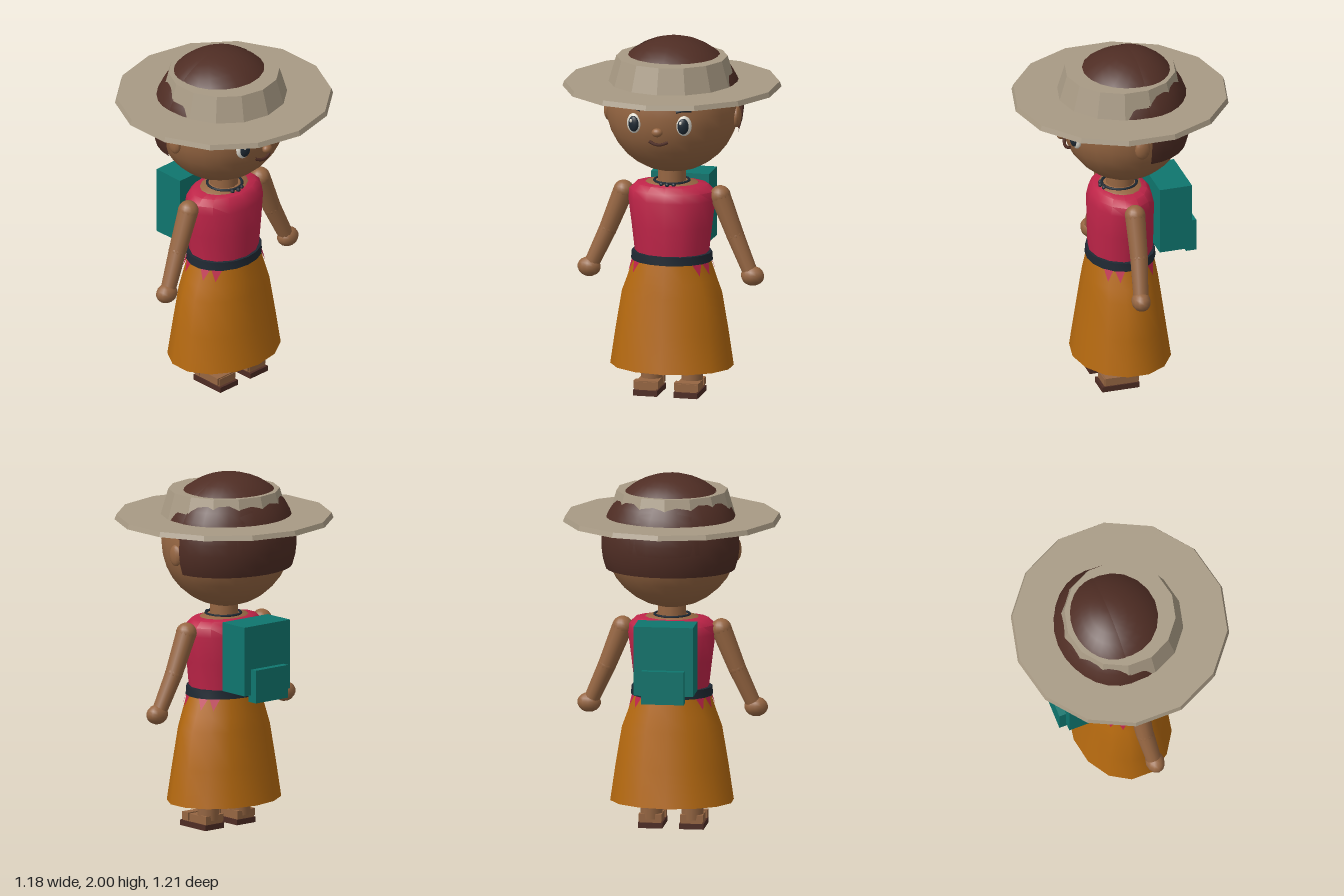
import * as THREE from 'three';
import { mergeVertices, toCreasedNormals } from 'three/addons/utils/BufferGeometryUtils.js';

const mat = (name, color, side = THREE.FrontSide) => {
  const m = new THREE.MeshStandardMaterial({ color, side });
  m.name = name;
  return m;
};

export function createModel() {
  const skin = mat('skin', 0x966642);
  const hair = mat('dark brown', 0x4f2d24, THREE.DoubleSide);
  const straw = mat('straw', 0xa89a84);
  const pink = mat('crimson', 0xbe2448, THREE.DoubleSide);
  const orange = mat('orange', 0xb5690f, THREE.DoubleSide);
  const teal = mat('teal', 0x0f766e);
  const dark = mat('charcoal', 0x1f2933);
  const white = mat('eye white', 0xddd8cc);
  const model = new THREE.Group();
  model.name = 'girlWithHat';

  const add = (name, geo, material, x = 0, y = 0, z = 0) => {
    const m = new THREE.Mesh(geo, material);
    m.name = name;
    m.position.set(x, y, z);
    model.add(m);
    return m;
  };
  const ball = (name, material, [x, y, z], [rx, ry, rz], w = 16, h = 12) => {
    const m = add(name, new THREE.SphereGeometry(1, w, h), material, x, y, z);
    m.scale.set(rx, ry, rz);
    return m;
  };
  const box = (name, material, x0, x1, y0, y1, z0, z1) =>
    add(name, new THREE.BoxGeometry(x1 - x0, y1 - y0, z1 - z0), material,
      (x0 + x1) / 2, (y0 + y1) / 2, (z0 + z1) / 2);
  // Elliptical loft through rings of [y, rx, rz], listed bottom to top
  const loft = (name, material, rings, sides = 14) => {
    const g = new THREE.LatheGeometry(rings.map(([y, rx]) => new THREE.Vector2(rx, y)), sides);
    const p = g.attributes.position;
    for (let i = 0; i < p.count; i++) {
      const [, rx, rz] = rings[i % rings.length];
      p.setZ(i, p.getZ(i) * rz / rx);
    }
    g.deleteAttribute('uv');
    g.deleteAttribute('normal');
    return add(name, toCreasedNormals(mergeVertices(g), 0.7), material);
  };
  // Tapered limb between two points
  const limb = (name, material, a, b, ra, rb) => {
    const A = new THREE.Vector3(...a), B = new THREE.Vector3(...b);
    const m = add(name, new THREE.CylinderGeometry(rb, ra, A.distanceTo(B), 12), material);
    m.position.copy(A).lerp(B, 0.5);
    m.quaternion.setFromUnitVectors(new THREE.Vector3(0, 1, 0), B.sub(A).normalize());
    return m;
  };
  const tube = (name, material, pts, r) => add(name, new THREE.TubeGeometry(
    new THREE.CatmullRomCurve3(pts.map(p => new THREE.Vector3(...p))), 10, r, 6), material);

  // Head and neck
  ball('head', skin, [0, 1.62, -0.02], [0.37, 0.37, 0.35], 24, 16);
  add('neck', new THREE.CylinderGeometry(0.078, 0.08, 0.13, 12), skin, 0, 1.235, 0);

  // Hair: tilted cap plus a half shell over the back of the head
  const cap = add('hairCap', new THREE.SphereGeometry(0.385, 24, 10, 0, Math.PI * 2, 0, 1.4), hair, 0, 1.615, -0.025);
  cap.rotation.x = -0.24;
  cap.scale.z = 0.95;
  const back = add('hairBack', new THREE.SphereGeometry(0.385, 14, 12, Math.PI, Math.PI, 0, 1.943), hair, 0, 1.615, -0.065);
  back.scale.z = 0.835;

  // Hat: wide brim and a tapered crown that the hair dome pokes through
  const flat = g => toCreasedNormals(g, 0.2);
  add('hatBrim', flat(new THREE.CylinderGeometry(0.595, 0.605, 0.028, 14)), straw, 0, 1.747, 0);
  add('hatCrown', flat(new THREE.CylinderGeometry(0.308, 0.352, 0.15, 14)), straw, 0, 1.83, 0);

  // Face
  ball('nose', skin, [0, 1.547, 0.343], [0.031, 0.025, 0.024]);
  tube('mouth', hair, [[-0.052, 1.486, 0.306], [-0.025, 1.475, 0.314], [0, 1.472, 0.317],
    [0.025, 1.475, 0.314], [0.052, 1.486, 0.306]], 0.009);
  for (const s of [-1, 1]) {
    ball('eyeWhite', white, [s * 0.143, 1.583, 0.3], [0.043, 0.057, 0.02]).rotation.y = s * 0.3;
    ball('iris', dark, [s * 0.141, 1.583, 0.311], [0.032, 0.045, 0.019]).rotation.y = s * 0.3;
    ball('eyeGlint', white, [s * 0.141 - 0.012, 1.602, 0.326], [0.009, 0.011, 0.006], 8, 6);
    tube('eyebrow', dark, [[s * 0.1, 1.663, 0.315], [s * 0.14, 1.671, 0.304], [s * 0.182, 1.668, 0.286]], 0.009);
    ball('ear', skin, [s * 0.365, 1.577, -0.015], [0.024, 0.06, 0.044], 12, 10);
  }

  // Torso, neckline and necklace
  loft('shirt', pink, [[0.76, 0.205, 0.175], [0.8, 0.207, 0.178], [0.95, 0.225, 0.182],
    [1.1, 0.245, 0.18], [1.15, 0.24, 0.168], [1.183, 0.205, 0.143], [1.19, 0.15, 0.115]]);
  loft('neckline', skin, [[1.18, 0.16, 0.125], [1.194, 0.145, 0.11], [1.203, 0.07, 0.07]]);
  add('necklace', new THREE.TorusGeometry(0.097, 0.008, 6, 20), dark, 0, 1.2, 0.005).rotation.x = Math.PI / 2;
  for (const x of [-0.035, 0, 0.035])
    ball('necklaceBead', dark, [x, 1.195, 0.113 - Math.abs(x) * 0.3], [0.013, 0.013, 0.013], 8, 6);

  // Skirt, belt and the shirt tips hanging below the belt
  loft('skirt', orange, [[0.155, 0.345, 0.275], [0.36, 0.315, 0.245], [0.57, 0.28, 0.215],
    [0.65, 0.25, 0.205], [0.77, 0.21, 0.183]]);
  loft('belt', dark, [[0.752, 0.2, 0.17], [0.753, 0.228, 0.192], [0.801, 0.224, 0.19], [0.802, 0.2, 0.17]], 18);
  const onSkirt = (deg, y) => {
    const a = deg * Math.PI / 180, d = 0.77 - y;
    return [(0.217 + d * 0.35) * Math.cos(a), y, (0.19 + d * 0.2) * Math.sin(a)];
  };
  for (const side of [0, 180]) for (const a of [-39, -20, 20, 39]) {
    const g = new THREE.BufferGeometry();
    g.setAttribute('position', new THREE.Float32BufferAttribute(
      [...onSkirt(side + a + 9, 0.76), ...onSkirt(side + a - 9, 0.76), ...onSkirt(side + a, 0.69)], 3));
    g.computeVertexNormals();
    add('shirtTip', g, pink);
  }

  for (const s of [-1, 1]) {
    // Arms
    const shoulder = [s * 0.275, 1.125, 0], elbow = [s * 0.362, 0.905, 0.005], wrist = [s * 0.447, 0.715, 0.022];
    ball('shoulder', skin, shoulder, [0.058, 0.058, 0.058]);
    limb('upperArm', skin, elbow, shoulder, 0.05, 0.058);
    ball('elbow', skin, elbow, [0.05, 0.05, 0.05]);
    limb('forearm', skin, wrist, elbow, 0.043, 0.05);
    ball('hand', skin, [s * 0.465, 0.687, 0.026], [0.066, 0.055, 0.053], 12, 9);

    // Legs and sandals
    const x = s * 0.115;
    add('leg', new THREE.CylinderGeometry(0.075, 0.06, 0.66, 12), skin, x, 0.38, 0);
    box('foot', skin, x - 0.06, x + 0.06, 0.03, 0.075, -0.05, 0.145);
    box('sandalStrap', skin, x - 0.069, x + 0.069, 0.037, 0.081, 0.09, 0.14);
    box('heelStrap', skin, x - 0.064, x + 0.064, 0.04, 0.08, -0.053, -0.01);
    box('sandalSole', hair, x - 0.068, x + 0.068, 0, 0.031, -0.055, 0.16);
  }

  // Backpack with pocket
  box('backpack', teal, -0.165, 0.165, 0.81, 1.198, -0.365, -0.178);
  box('backpackPocket', teal, -0.118, 0.118, 0.77, 0.955, -0.405, -0.345);
  return model;
}
